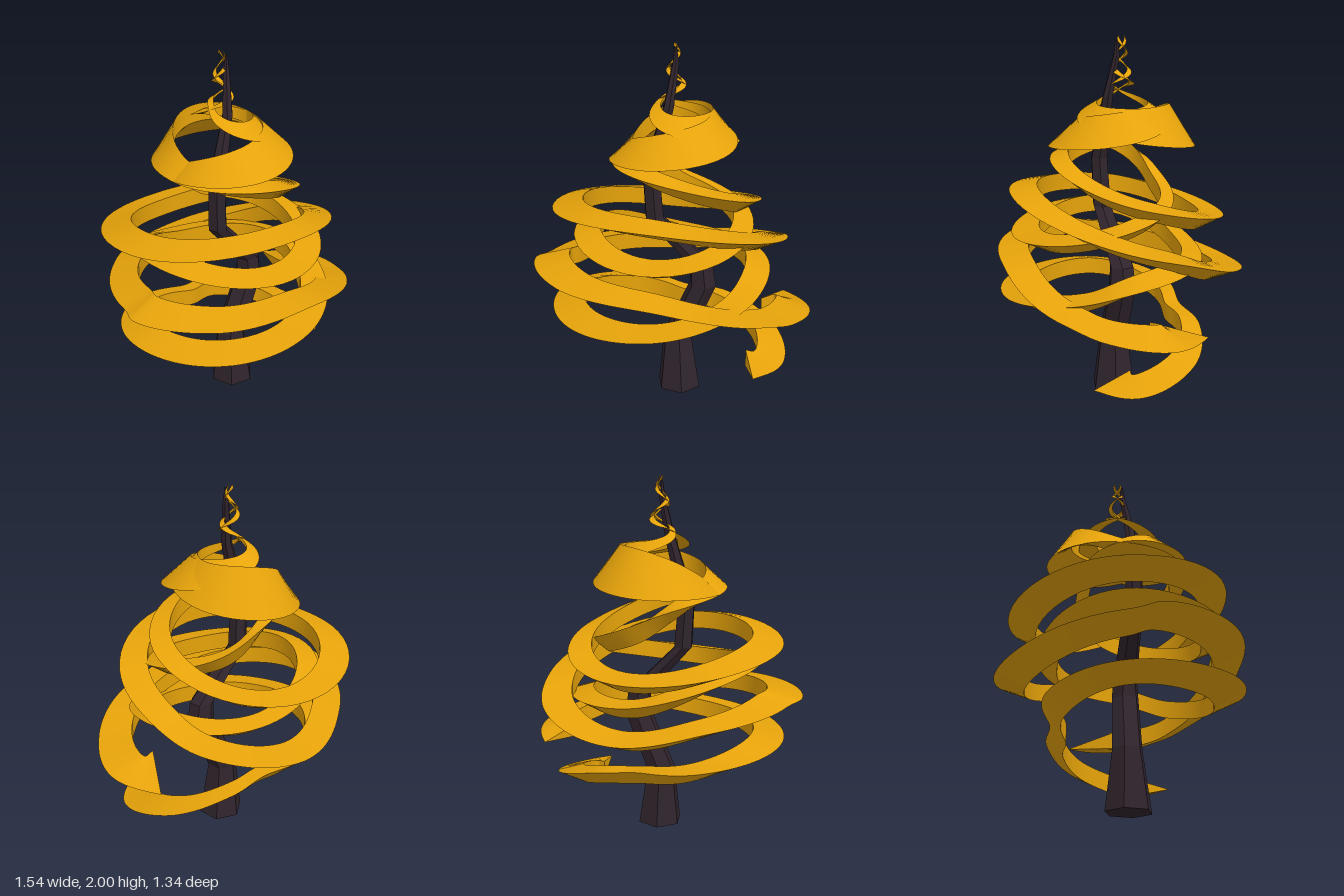
import * as THREE from 'three';

const gold = new THREE.MeshStandardMaterial({ color: 0xe6a30a, side: THREE.DoubleSide });
const bark = new THREE.MeshStandardMaterial({ color: 0x30242c, flatShading: true });
const { degToRad, clamp, lerp, smoothstep } = THREE.MathUtils;

function grid(rows, index, cols, closed, start = 0) {
  const n = closed ? cols : cols - 1;
  for (let i = 0; i < rows - 1; i++) for (let j = 0; j < n; j++) {
    const a = start + i * cols + j, b = start + i * cols + (j + 1) % cols, c = a + cols, d = b + cols;
    index.push(a, c, b, b, c, d);
  }
}

function build(name, pos, index, material) {
  const g = new THREE.BufferGeometry();
  g.setAttribute('position', new THREE.Float32BufferAttribute(pos, 3));
  g.setIndex(index);
  g.computeVertexNormals();
  const mesh = new THREE.Mesh(g, material);
  mesh.name = name;
  return mesh;
}

// Winding band with a wedge section, an outer tip and an upright inner wall.
// Sections are [angle, tip radius, tip height, wall height]; at the start the wall is turned by lead.
function ribbon(name, turn, lead, lower) {
  const sections = [...lower];
  const last = lower[lower.length - 1][0];
  // Small loops closing in on the treetop
  for (let i = 1; i <= 8; i++) {
    const t = i / 8, y = lerp(1.66, 1.985, t);
    sections.push([last + 90 * i, lerp(0.12, 0.025, Math.sqrt(t)), y, y + 0.012]);
  }
  const steps = (sections.length - 1) * 14, pos = [], index = [];
  const edge = (place) => new THREE.CatmullRomCurve3(
    sections.map((s, i) => new THREE.Vector3(...place(s, i))), false, 'catmullrom', 0.5)
    .getPoints(steps).map(p => [p.y * Math.cos(p.x), p.z, turn * p.y * Math.sin(p.x)]);
  // The wall gets lower, and the band relatively wider, towards the top
  const wall = (side) => ([a, r, y, wallY], i) => [
    degToRad(a + (i ? 0 : lead)),
    r * lerp(0.75, 0.56, smoothstep(y, 1.34, 1.46)),
    wallY + side * 0.052 * clamp((1.72 - y) / 0.3, 0.12, 1)];
  const tip = edge(([a, r, y]) => [degToRad(a), r, y]);
  const top = edge(wall(1)), bottom = edge(wall(-1));
  // Separate strips keep the three edges sharp
  for (const [a, b] of [[tip, top], [top, bottom], [bottom, tip]]) {
    const start = pos.length / 3;
    for (let i = 0; i <= steps; i++) pos.push(...a[i], ...b[i]);
    grid(steps + 1, index, 2, false, start);
  }
  // End caps
  for (const i of [0, steps]) {
    const k = pos.length / 3;
    pos.push(...tip[i], ...top[i], ...bottom[i]);
    index.push(k, k + 1, k + 2);
  }
  return build(name, pos, index, gold);
}

// Crooked six-sided trunk: [x, y, z, radius]
function trunk() {
  const rings = [
    [0.035, 0, 0.06, 0.13], [0.025, 0.33, 0.055, 0.085], [0.17, 0.66, 0.055, 0.08],
    [0.16, 0.78, 0.055, 0.07], [-0.1, 1.06, 0.08, 0.055], [-0.115, 1.33, 0.09, 0.05],
    [-0.02, 1.68, 0.07, 0.03], [0.01, 1.9, 0.03, 0.018], [0.01, 1.98, 0.03, 0.006],
  ];
  const pos = [], index = [], sides = 6;
  for (const [x, y, z, r] of rings) for (let j = 0; j < sides; j++) {
    const a = (j / sides) * Math.PI * 2 + 0.25;
    pos.push(x + r * Math.cos(a), y, z + r * Math.sin(a));
  }
  grid(rings.length, index, sides, true);
  for (let j = 1; j < sides - 1; j++) {
    const t = (rings.length - 1) * sides;
    index.push(0, j, j + 1, t, t + j + 1, t + j);
  }
  return build('trunk', pos, index, bark);
}

export function createModel() {
  const group = new THREE.Group();
  group.add(trunk());

  // Ribbon rising from the right round the back
  group.add(ribbon('ribbonBackward', -1, 20, [
    [-34, 0.59, 0.235, 0.23], [-10, 0.66, 0.235, 0.235], [20, 0.6, 0.31, 0.305],
    [55, 0.46, 0.41, 0.38], [90, 0.36, 0.45, 0.405], [135, 0.52, 0.5, 0.46],
    [180, 0.67, 0.55, 0.54], [225, 0.71, 0.57, 0.555], [270, 0.67, 0.61, 0.58],
    [315, 0.6, 0.69, 0.66], [360, 0.54, 0.78, 0.775], [450, 0.44, 0.83, 0.8],
    [540, 0.54, 0.99, 0.98], [630, 0.61, 0.95, 0.925], [720, 0.43, 1.08, 1.06],
    [810, 0.23, 1.25, 1.2], [900, 0.34, 1.38, 1.41], [990, 0.4, 1.43, 1.53],
    [1080, 0.34, 1.5, 1.6], [1170, 0.21, 1.61, 1.65],
  ]));

  // Ribbon rising from the right round the front
  group.add(ribbon('ribbonForward', 1, 26, [
    [-23, 0.67, 0.5, 0.53], [0, 0.775, 0.53, 0.545], [25, 0.76, 0.59, 0.58],
    [45, 0.73, 0.66, 0.635], [90, 0.67, 0.78, 0.75], [135, 0.76, 0.81, 0.79],
    [165, 0.79, 0.81, 0.8], [180, 0.71, 0.79, 0.78], [225, 0.62, 0.75, 0.725],
    [270, 0.67, 0.7, 0.68], [315, 0.68, 0.79, 0.765], [360, 0.63, 0.95, 0.925],
    [450, 0.61, 1.17, 1.14], [540, 0.68, 1.1, 1.095], [630, 0.6, 1.0, 0.975],
    [720, 0.47, 1.16, 1.14], [810, 0.4, 1.35, 1.33], [900, 0.34, 1.38, 1.42],
    [990, 0.41, 1.4, 1.58], [1080, 0.34, 1.48, 1.6], [1170, 0.25, 1.58, 1.63],
  ]));

  return group;
}
